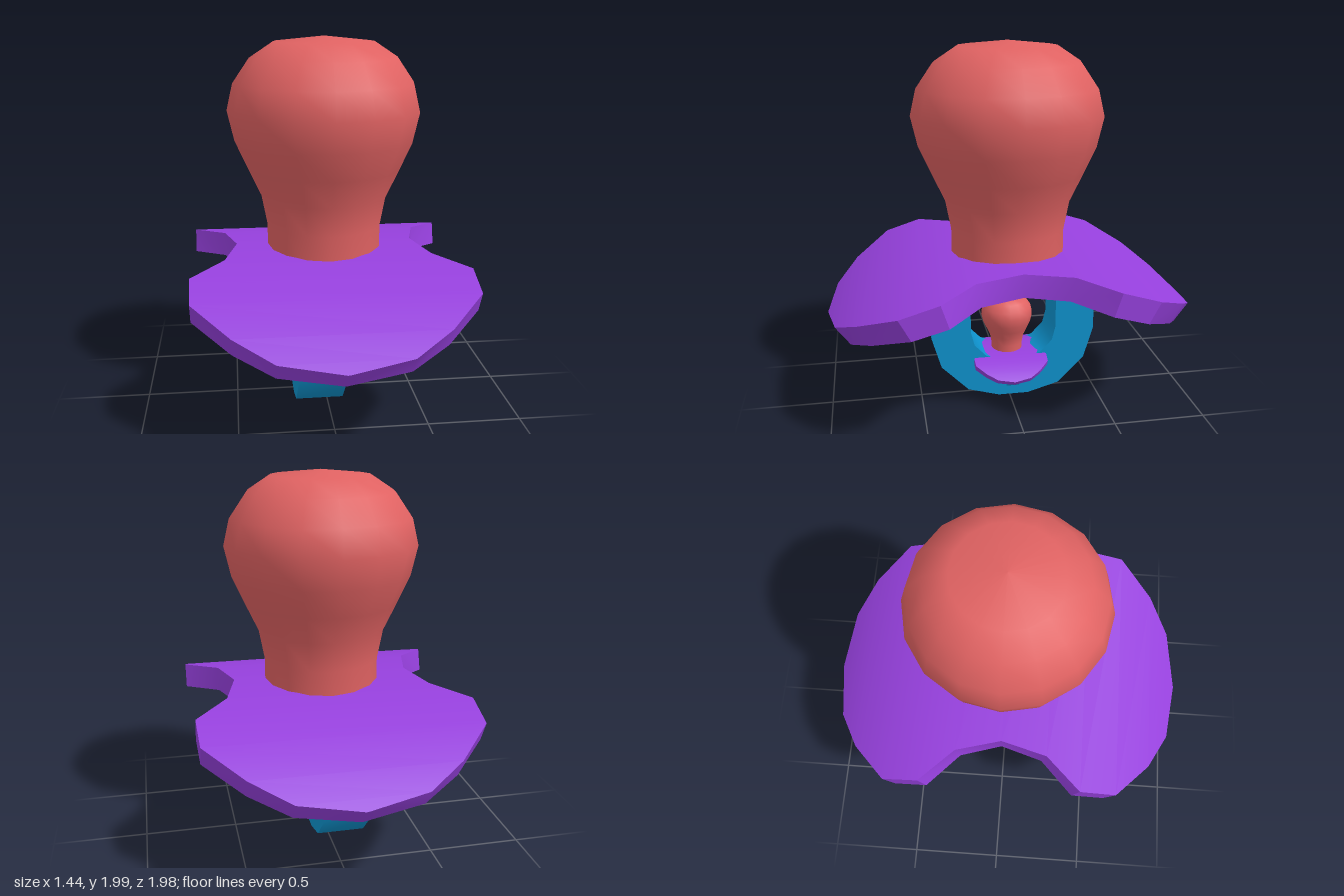
import * as THREE from 'three';
import { toCreasedNormals } from 'three/addons/utils/BufferGeometryUtils.js';

// Rounded teat, turned around the y axis
function teatGeometry() {
  const profile = [
    [0.31, 0.8], [0.31, 1.0], [0.34, 1.16], [0.41, 1.31], [0.477, 1.46],
    [0.513, 1.62], [0.48, 1.76], [0.39, 1.89], [0.265, 1.972], [0, 2.0],
  ].map(([r, y]) => new THREE.Vector2(r, y));
  return new THREE.LatheGeometry(profile, 16);
}

// Butterfly-shaped mouth shield, bent down towards front and back
function shieldGeometry() {
  // half width, top z, top y, bottom z, bottom y
  const half = [
    [0.48, 0, 0.89, 0, 0.765],
    [0.545, 0.25, 0.88, 0.225, 0.755],
    [0.72, 0.44, 0.852, 0.4, 0.73],
    [0.713, 0.64, 0.79, 0.58, 0.678],
    [0.52, 0.83, 0.69, 0.765, 0.583],
    [0.32, 0.945, 0.605, 0.87, 0.505],
    [0.005, 0.992, 0.562, 0.912, 0.468],
  ];
  const back = half.slice(1).reverse().map(([w, z, y, zb, yb]) => [w, -z, y, -zb, yb]);
  const sections = [...back, ...half].map(([w, z, y, zb, yb]) => ({
    L: [-w, y, z], R: [w, y, z], l: [-w, yb, zb], r: [w, yb, zb],
  }));
  const positions = [];
  const quad = (a, b, c, d) => positions.push(...a, ...b, ...c, ...a, ...c, ...d);
  for (let i = 0; i < sections.length - 1; i++) {
    const p = sections[i], q = sections[i + 1];
    quad(p.L, q.L, q.R, p.R); // top
    quad(p.l, p.r, q.r, q.l); // underside
    quad(p.R, q.R, q.r, p.r); // left rim
    quad(p.L, p.l, q.l, q.L); // right rim
  }
  const first = sections[0], last = sections[sections.length - 1];
  quad(last.L, last.l, last.r, last.R);
  quad(first.R, first.r, first.l, first.L);
  const geometry = new THREE.BufferGeometry();
  geometry.setAttribute('position', new THREE.Float32BufferAttribute(positions, 3));
  return toCreasedNormals(geometry, 0.6);
}

// U-shaped handle under the shield
function handleGeometry() {
  const outer = [[0.463, 0.8], [0.463, 0.39], [0.41, 0.21], [0.26, 0.06], [0.085, 0.01]];
  const inner = [[0.063, 0.23], [0.155, 0.26], [0.222, 0.33], [0.242, 0.41], [0.242, 0.8]];
  const flip = (list) => list.map(([x, y]) => [-x, y]).reverse();
  const outline = [...flip(outer).reverse(), ...outer.slice().reverse(), ...inner.slice().reverse(), ...flip(inner).reverse()];
  const shape = new THREE.Shape(outline.map(([x, y]) => new THREE.Vector2(x, y)));
  const geometry = new THREE.ExtrudeGeometry(shape, { depth: 0.257, bevelEnabled: false });
  geometry.rotateY(Math.PI / 2);
  geometry.translate(-0.18, 0, -0.022);
  return toCreasedNormals(geometry, 0.7);
}

export function createModel() {
  const paint = (name, color) => {
    const material = new THREE.MeshStandardMaterial({ color });
    material.name = name;
    return material;
  };
  const parts = [
    ['teat', teatGeometry(), paint('coral red', 0xe06262)],
    ['shield', shieldGeometry(), paint('purple', 0x9640dd)],
    ['handle', handleGeometry(), paint('blue', 0x0e92cd)],
  ];

  const makePacifier = (name) => {
    const group = new THREE.Group();
    group.name = name;
    for (const [part, geometry, material] of parts) {
      const mesh = new THREE.Mesh(geometry, material);
      mesh.name = part;
      group.add(mesh);
    }
    return group;
  };

  const model = new THREE.Group();
  model.name = 'pacifier';
  model.add(makePacifier('largePacifier'));

  // Small copy standing inside the handle, turned a quarter
  const small = makePacifier('smallPacifier');
  small.scale.setScalar(0.287);
  small.rotation.y = -Math.PI / 2;
  small.position.set(-0.042, 0.007, -0.003);
  model.add(small);
  return model;
}
